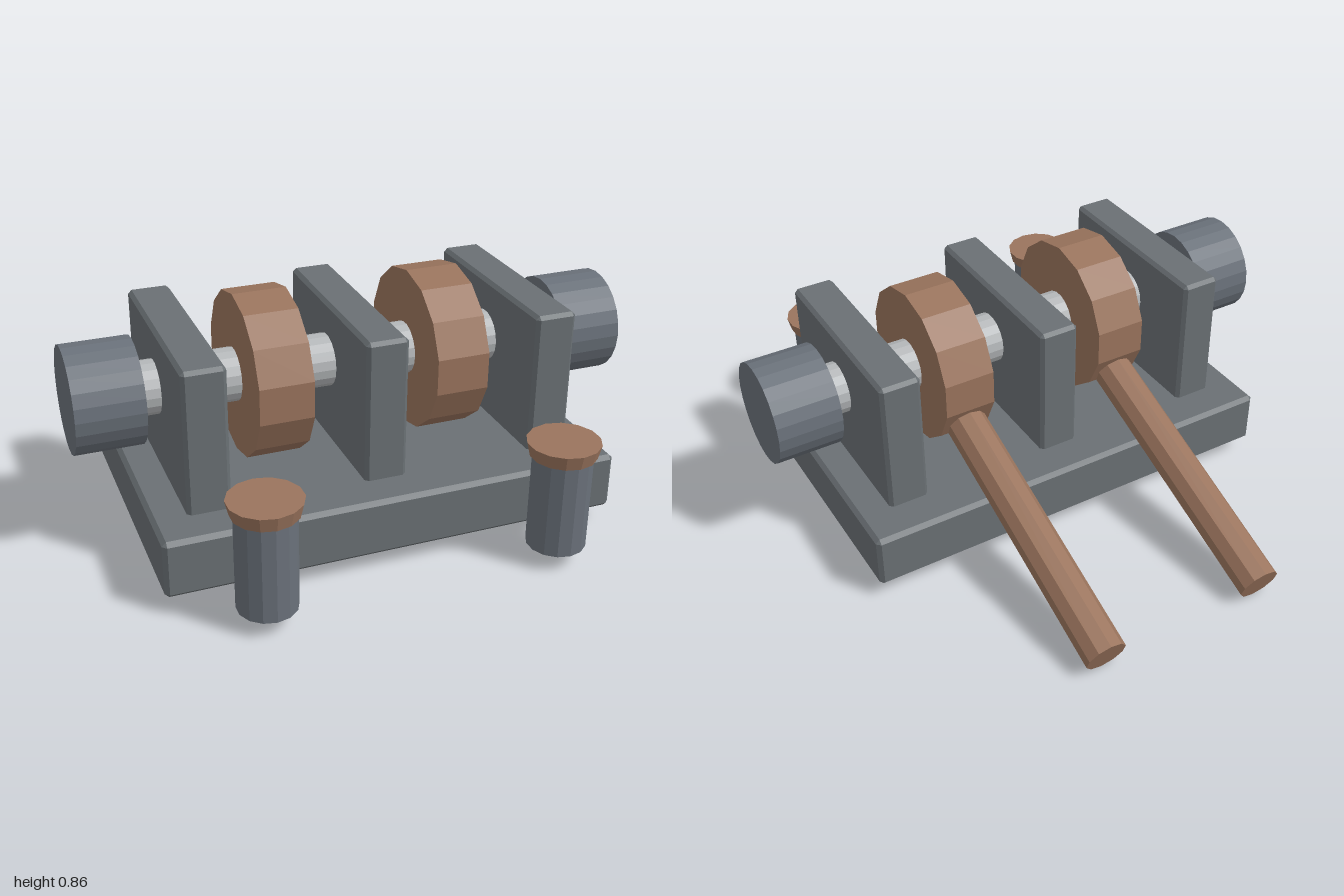
import * as THREE from 'three';
import { ConvexGeometry } from 'three/addons/geometries/ConvexGeometry.js';

const material = (name, color) => {
  const m = new THREE.MeshStandardMaterial({ color, flatShading: true });
  m.name = name;
  return m;
};

// Box with all edges cut at 45 degrees
function chamferedBox(w, h, d, c) {
  const points = [];
  for (const sx of [-1, 1]) for (const sy of [-1, 1]) for (const sz of [-1, 1]) {
    const x = w / 2, y = h / 2, z = d / 2;
    points.push(
      new THREE.Vector3(sx * x, sy * (y - c), sz * (z - c)),
      new THREE.Vector3(sx * (x - c), sy * y, sz * (z - c)),
      new THREE.Vector3(sx * (x - c), sy * (y - c), sz * z));
  }
  return new ConvexGeometry(points);
}

// Cylinder lying along x
const axleCylinder = (radius, length, sides) =>
  new THREE.CylinderGeometry(radius, radius, length, sides).rotateZ(Math.PI / 2);

export function createModel() {
  const group = new THREE.Group();
  group.name = 'leverMechanism';
  const iron = material('dark iron', 0x6a7074);
  const steel = material('blue grey steel', 0x6a717a);
  const bright = material('bright metal', 0xb4b7b9);
  const wood = material('brown wood', 0x9a745d);

  const add = (name, geometry, mat, x, y, z) => {
    const mesh = new THREE.Mesh(geometry, mat);
    mesh.name = name;
    mesh.position.set(x, y, z);
    group.add(mesh);
    return mesh;
  };

  const axleY = 0.567, axleZ = 0.22;

  // Base plate and the three bearing blocks
  add('basePlate', chamferedBox(1.626, 0.207, 1.024, 0.015), iron, 0, 0.167, 0.22);
  for (const x of [-0.62, 0, 0.62]) {
    add('bearingBlock', chamferedBox(0.15, 0.525, 0.746, 0.013), iron, x, 0.517, 0.222);
  }

  // Axle through the blocks
  add('axle', axleCylinder(0.095, 1.56, 18), bright, 0, axleY, axleZ);

  for (const side of [-1, 1]) {
    add('axleEndCap', axleCylinder(0.187, 0.236, 24), steel, side * 0.882, axleY, axleZ);
    // Flat facet on top of the wheel
    add('wheel', axleCylinder(0.294, 0.192, 14), wood, side * 0.32, axleY, axleZ)
      .rotation.x = Math.PI / 2;

    // Lever sloping down to the rear, starting inside the wheel
    const tilt = THREE.MathUtils.degToRad(20), length = 1.0;
    const lever = add('lever', new THREE.CylinderGeometry(0.075, 0.075, length, 10), wood,
      side * 0.32,
      0.073 + Math.sin(tilt) * length / 2,
      -0.968 + Math.cos(tilt) * length / 2);
    lever.rotation.x = Math.PI / 2 - tilt;

    // Front post with its flared button
    add('post', new THREE.CylinderGeometry(0.102, 0.102, 0.345, 14), steel, side * 0.517, 0.2375, 0.865);
    add('postButton', new THREE.CylinderGeometry(0.125, 0.113, 0.05, 14), wood, side * 0.517, 0.43, 0.865);
  }
  return group;
}
